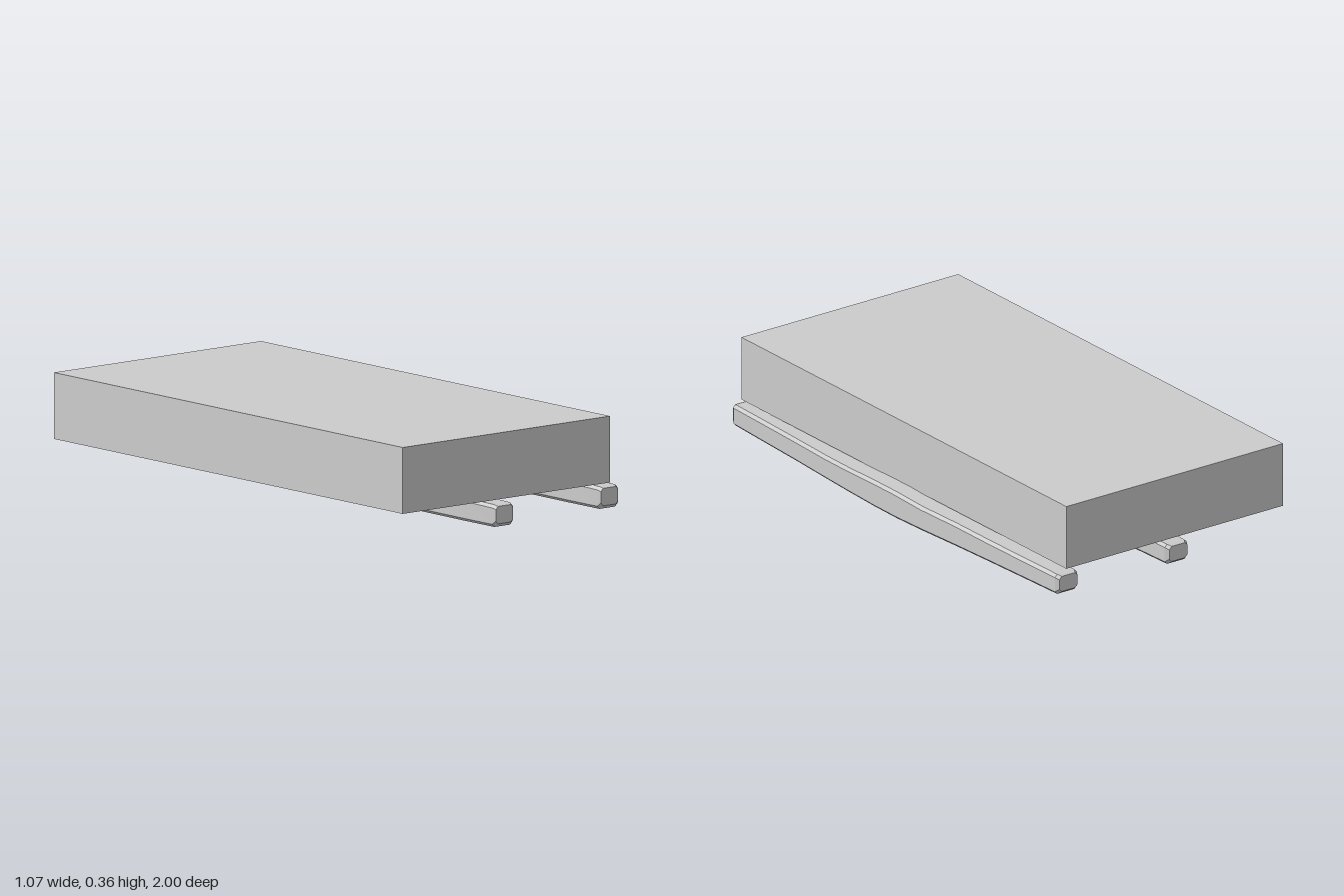
import * as THREE from 'three';
import { toCreasedNormals } from 'three/addons/utils/BufferGeometryUtils.js';

// Cross-sections along a rough-hewn beam: [z, left, right, bottom, top]
const SECTIONS = [
  [1.0, 0.405, 0.488, 0.027, 0.092],
  [0.985, 0.4, 0.496, 0.014, 0.097],
  [0.8, 0.402, 0.504, 0.013, 0.099],
  [0.6, 0.408, 0.512, 0.012, 0.1],
  [0.4, 0.418, 0.523, 0.011, 0.102],
  [0.25, 0.425, 0.53, 0.01, 0.106],
  [0.08, 0.428, 0.533, 0.007, 0.111],
  [-0.05, 0.427, 0.533, 0.006, 0.111],
  [-0.2, 0.425, 0.53, 0.008, 0.104],
  [-0.4, 0.418, 0.522, 0.011, 0.103],
  [-0.6, 0.41, 0.515, 0.013, 0.098],
  [-0.8, 0.406, 0.508, 0.014, 0.095],
  [-0.985, 0.402, 0.502, 0.015, 0.093],
  [-1.0, 0.41, 0.492, 0.027, 0.087],
];

// Rectangle with clipped corners, counter-clockwise seen from +z
function ring([z, l, r, b, t]) {
  const c = 0.011;
  return [
    [l + c, b, z], [r - c, b, z], [r, b + c, z], [r, t - c, z],
    [r - c, t, z], [l + c, t, z], [l, t - c, z], [l, b + c, z],
  ];
}

// Skin the sections and close both ends
function beamGeometry() {
  const n = 8;
  const count = SECTIONS.length;
  const index = [];
  for (let s = 0; s < count - 1; s++) {
    for (let i = 0; i < n; i++) {
      const j = (i + 1) % n;
      const a = s * n + i, b = s * n + j, c = a + n, d = b + n;
      index.push(a, c, b, b, c, d);
    }
  }
  const last = (count - 1) * n;
  for (let i = 1; i < n - 1; i++) {
    index.push(0, i, i + 1, last, last + i + 1, last + i);
  }
  const geometry = new THREE.BufferGeometry();
  geometry.setAttribute('position', new THREE.Float32BufferAttribute(SECTIONS.flatMap(ring).flat(), 3));
  geometry.setIndex(index);
  return toCreasedNormals(geometry, 0.5);
}

export function createModel() {
  const group = new THREE.Group();
  const material = new THREE.MeshStandardMaterial({ color: 0xcccccc });

  // Plain slab resting above the beams
  const slab = new THREE.Mesh(new THREE.BoxGeometry(0.99, 0.247, 1.985), material);
  slab.name = 'slab';
  slab.position.set(-0.04, 0.2335, 0);
  group.add(slab);

  // Two matching beams, one under the middle and one along the left edge
  const geometry = beamGeometry();
  for (const [name, x, y] of [['edgeBeam', 0, 0.002], ['middleBeam', -0.502, -0.006]]) {
    const beam = new THREE.Mesh(geometry, material);
    beam.name = name;
    beam.position.set(x, y, 0);
    group.add(beam);
  }
  return group;
}
